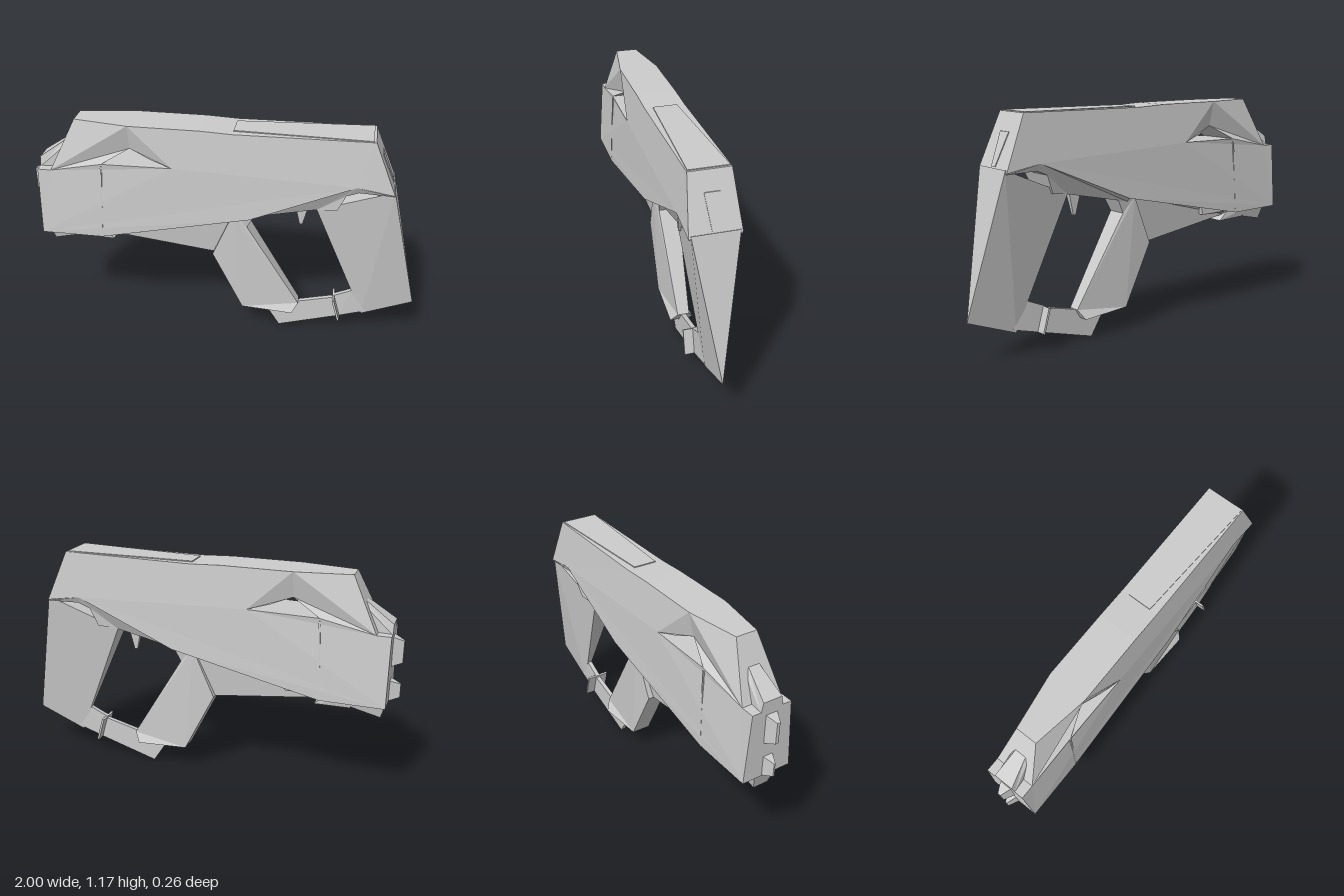
import * as THREE from 'three';

const material = new THREE.MeshStandardMaterial({ color: 0xcccccc, flatShading: true, side: THREE.DoubleSide });

// Mirrored slab: each outline point is [x, y, half thickness]
function slab(name, outline, hole) {
  const toVec = ([x, y]) => new THREE.Vector2(x, y);
  const shape = new THREE.Shape(outline.map(toVec));
  if (hole) shape.holes.push(new THREE.Path(hole.map(toVec)));
  const geometry = new THREE.ExtrudeGeometry(shape, { depth: 1, bevelEnabled: false });
  const points = hole ? outline.concat(hole) : outline;
  const pos = geometry.attributes.position;
  for (let i = 0; i < pos.count; i++) {
    const x = pos.getX(i), y = pos.getY(i);
    const match = points.find(p => Math.hypot(p[0] - x, p[1] - y) < 1e-4);
    pos.setZ(i, pos.getZ(i) > 0.5 ? match[2] : -match[2]);
  }
  geometry.computeVertexNormals();
  const mesh = new THREE.Mesh(geometry, material);
  mesh.name = name;
  return mesh;
}

export function createModel() {
  const group = new THREE.Group();
  group.name = 'angularPistol';

  // Main faceted housing with the side opening
  group.add(slab('housing', [
    [-0.95, 0.55, 0.13], [-0.63, 0.55, 0.13], [0.14, 0.72, 0.13], [0.66, 0.94, 0.122],
    [0.84, 0.91, 0.122], [0.73, 1.172, 0.1], [0.05, 1.165, 0.1], [-0.11, 1.172, 0.1],
    [-0.47, 1.172, 0.1], [-0.75, 1.172, 0.055], [-0.88, 0.905, 0.105], [-0.95, 0.905, 0.105],
  ], [[-0.61, 0.963, 0.115], [-0.47, 1.04, 0.07], [-0.36, 1.0, 0.1], [-0.25, 0.97, 0.12]]));

  // Chamfer below the rear of the housing
  group.add(slab('undersideChamfer', [
    [0.14, 0.72, 0.13], [0.1, 0.69, 0.06], [0.47, 0.77, 0.06], [0.57, 0.785, 0.085],
    [0.61, 0.88, 0.1], [0.67, 0.905, 0.105], [0.84, 0.905, 0.12], [0.66, 0.94, 0.122],
  ]));

  // Wedge-shaped rear stock tapering to a point
  group.add(slab('rearStock', [
    [0.84, 0.925, 0.112], [0.47, 0.77, 0.06], [0.74, 0.12, 0], [1, 0.225, 0],
  ]));

  // Grip
  group.add(slab('grip', [
    [0.05, 0.71, 0.06], [-0.06, 0.45, 0.05], [0.1, 0.13, 0.05], [0.37, 0.12, 0.06],
    [0.4, 0.17, 0.03], [0.12, 0.63, 0.05], [0.16, 0.71, 0.06],
  ]));

  // Thin strut joining grip and stock, with its collar plate
  group.add(slab('strut', [
    [0.22, 0.13, 0.012], [0.3, 0.005, 0.012], [0.62, 0.1, 0.012], [0.76, 0.14, 0.004],
    [0.68, 0.27, 0.012], [0.58, 0.225, 0.012], [0.58, 0.215, 0.012], [0.4, 0.17, 0.012],
  ]));
  group.add(slab('strutCollar', [
    [0.615, 0.098, 0.06], [0.625, 0.102, 0.06], [0.59, 0.227, 0.06], [0.58, 0.223, 0.06],
  ]));

  // Trigger
  group.add(slab('trigger', [
    [0.36, 0.76, 0.015], [0.385, 0.65, 0.008], [0.4, 0.65, 0.008], [0.43, 0.775, 0.015],
  ]));

  // Keel under the front of the housing
  group.add(slab('keel', [
    [-0.95, 0.57, 0.065], [-0.92, 0.465, 0.04], [-0.63, 0.525, 0.03], [-0.06, 0.45, 0.02],
    [0.06, 0.71, 0.05], [-0.44, 0.6, 0.06],
  ]));
  group.add(slab('keelRail', [
    [-0.8, 0.55, 0.06], [-0.77, 0.498, 0.05], [-0.59, 0.495, 0.05], [-0.64, 0.54, 0.05],
    [-0.44, 0.55, 0.06], [-0.43, 0.6, 0.06],
  ]));

  // Muzzle nubs and front ridge
  group.add(slab('upperMuzzle', [
    [-1, 0.75, 0.008], [-0.94, 0.73, 0.035], [-0.94, 0.885, 0.035], [-1, 0.86, 0.008],
  ]));
  group.add(slab('lowerMuzzle', [
    [-1, 0.57, 0.004], [-0.94, 0.55, 0.03], [-0.94, 0.66, 0.03], [-1, 0.64, 0.004],
  ]));
  group.add(slab('frontRidge', [
    [-0.95, 0.9, 0.06], [-0.7, 0.9, 0.04], [-0.7, 1.12, 0.03], [-0.82, 1.04, 0.03], [-0.95, 0.95, 0.05],
  ]));

  // Raised top panel
  group.add(slab('topPanel', [
    [0.05, 1.16, 0.06], [0.72, 1.165, 0.095], [0.72, 1.176, 0.095], [0.05, 1.17, 0.06],
  ]));

  // Tapered plate on the sloping rear face
  group.add(slab('rearPlate', [
    [0.82, 0.93, 0.016], [0.836, 0.93, 0.016], [0.771, 1.085, 0.036], [0.75, 1.085, 0.036],
  ]));

  // Vertical seam strips on both sides
  for (const side of [-1, 1]) {
    const seam = new THREE.Mesh(new THREE.BoxGeometry(0.008, 0.38, 0.006), material);
    seam.name = side > 0 ? 'seamFront' : 'seamBack';
    seam.position.set(-0.62, 0.76, side * 0.122);
    seam.rotation.set(-side * 0.037, 0, -0.045);
    group.add(seam);
  }
  return group;
}
